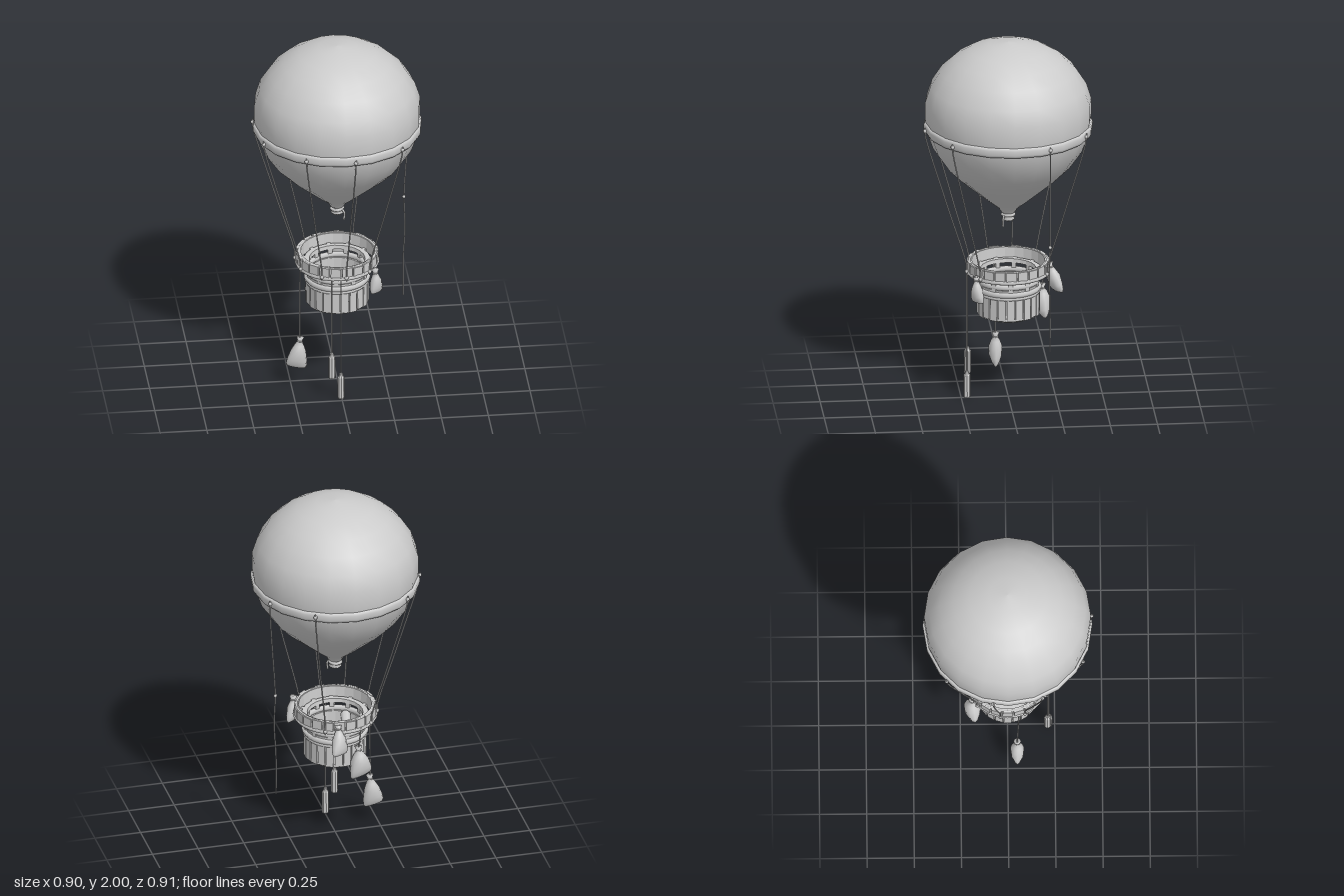
import * as THREE from 'three';
import { mergeVertices } from 'three/addons/utils/BufferGeometryUtils.js';

const mat = new THREE.MeshStandardMaterial({ color: 0xcccccc, side: THREE.DoubleSide });
const V = (x, y, z) => new THREE.Vector3(x, y, z);
const polar = (deg, r, y) => V(r * Math.cos(deg * Math.PI / 180), y, r * Math.sin(deg * Math.PI / 180));

function add(parent, name, geometry, pos = [0, 0, 0], rot = [0, 0, 0]) {
  const mesh = new THREE.Mesh(geometry, mat);
  mesh.name = name;
  mesh.position.set(...pos);
  mesh.rotation.set(...rot);
  parent.add(mesh);
  return mesh;
}

const lathe = (pts, sides) => new THREE.LatheGeometry(pts.map(p => new THREE.Vector2(...p)), sides);

// profile repeated with doubled corners so that edges stay crisp
function crispLathe(pts, sides) {
  const g = lathe(pts, sides).toNonIndexed();
  g.computeVertexNormals();
  return g;
}

function rope(parent, name, pts, r = 0.004) {
  const curve = new THREE.CatmullRomCurve3(pts);
  return add(parent, name, new THREE.TubeGeometry(curve, Math.max(2, pts.length * 3), r, 5));
}

// cloth sack hanging from its tied neck, flattened toward a wide seam at the bottom
function sack(parent, name, pos, rot, h = 0.145, w = 0.052) {
  const g0 = lathe([[0.001, 0.024], [0.02, 0.026], [0.011, 0.004], [w * 0.45, -h * 0.14], [w * 0.74, -h * 0.38],
    [w * 0.95, -h * 0.7], [w, -h * 0.9], [w * 0.92, -h], [0.001, -h * 1.03]], 12);
  g0.deleteAttribute('uv');
  g0.deleteAttribute('normal');
  const g = mergeVertices(g0), p = g.attributes.position;
  for (let i = 0; i < p.count; i++) {
    const t = THREE.MathUtils.clamp(-p.getY(i) / h, 0, 1);
    p.setZ(i, p.getZ(i) * (1 - 0.72 * t * t));
    p.setY(i, p.getY(i) - 0.1 * p.getX(i) * t);
  }
  g.computeVertexNormals();
  const group = new THREE.Group();
  group.name = name;
  group.position.set(...pos);
  group.rotation.set(...rot);
  add(group, 'sackCloth', g);
  add(group, 'sackTie', new THREE.TorusGeometry(0.012, 0.004, 5, 10), [0, 0.004, 0], [Math.PI / 2, 0, 0]);
  parent.add(group);
}

export function createModel() {
  const model = new THREE.Group();
  model.name = 'hotAirBalloon';

  // envelope
  add(model, 'envelope', lathe([[0.034, 1.04], [0.055, 1.07], [0.1, 1.105], [0.2, 1.19], [0.27, 1.25], [0.335, 1.315],
    [0.4, 1.41], [0.432, 1.5], [0.442, 1.58], [0.442, 1.67], [0.415, 1.755], [0.36, 1.84], [0.29, 1.905],
    [0.205, 1.957], [0.1, 1.99], [0, 2]], 20));

  // gathered neck with its cord and loose end
  add(model, 'neckRuffle', lathe([[0.001, 1.005], [0.025, 0.995], [0.036, 1.005], [0.024, 1.03], [0.034, 1.05]], 9));
  add(model, 'neckCord', new THREE.TorusGeometry(0.031, 0.009, 6, 12), [0, 1.028, 0], [Math.PI / 2, 0.08, 0]);
  rope(model, 'neckCordEnd', [V(0.025, 1.03, 0.025), V(0.035, 1.01, 0.03), V(0.033, 0.97, 0.03)], 0.006);

  // padded belt around the envelope
  add(model, 'belt', lathe([[0.425, -0.027], [0.443, -0.026], [0.449, -0.012], [0.45, 0.012], [0.445, 0.026],
    [0.425, 0.03]], 20), [0, 1.528, 0], [-0.012, 0, 0]);

  // suspension ropes with knots at belt and rail
  for (const a of [46, 83.5, 117.5, 156, 190, 226, 298]) {
    rope(model, 'suspensionRope', [polar(a, 0.452, 1.545), polar(a, 0.448, 1.5), polar(a, 0.33, 1.1), polar(a, 0.222, 0.74),
      polar(a, 0.224, 0.7)]);
    add(model, 'beltKnot', new THREE.SphereGeometry(0.011, 6, 5), polar(a, 0.45, 1.528).toArray());
    add(model, 'railKnot', new THREE.SphereGeometry(0.011, 6, 5), polar(a, 0.224, 0.72).toArray());
  }

  // snapped rope hanging free
  rope(model, 'looseRope', [V(0.405, 1.545, -0.19), V(0.402, 1.4, -0.19), V(0.39, 1.2, -0.19), V(0.377, 0.97, -0.19),
    V(0.382, 0.8, -0.185), V(0.373, 0.6, -0.19), V(0.373, 0.38, -0.19)]);
  add(model, 'looseRopeKnot', new THREE.SphereGeometry(0.01, 6, 5), [0.377, 0.97, -0.19]);
  add(model, 'beltKnot', new THREE.SphereGeometry(0.011, 6, 5), [0.405, 1.528, -0.19]);

  // basket
  const basket = new THREE.Group();
  basket.name = 'basket';
  model.add(basket);
  add(basket, 'basketShell', crispLathe([[0, 0.455], [0.13, 0.46], [0.158, 0.48], [0.163, 0.65], [0.145, 0.65],
    [0.142, 0.49], [0, 0.485]], 24));
  const slats = 22;
  for (let i = 0; i < slats; i++) {
    const a = i / slats * 360, turn = Math.PI / 2 - a * Math.PI / 180;
    const jitter = 0.006 * Math.sin(i * 2.7);
    add(basket, 'bodySlat', new THREE.BoxGeometry(0.04, 0.13, 0.012),
      polar(a, 0.161, 0.545 + jitter * 0.5).toArray(), [0, turn, jitter * 4]);
    add(basket, 'railSlat', new THREE.BoxGeometry(0.054, 0.052, 0.012),
      polar(a, 0.212, 0.746 + jitter * 0.4).toArray(), [0, turn, jitter * 6]);
    // posts holding the rail above the body
    if (i % 2 === 0) {
      add(basket, 'railPost', new THREE.BoxGeometry(0.024, 0.08, 0.02), polar(a, 0.157, 0.68).toArray(), [0, turn, 0]);
      add(basket, 'railBracket', new THREE.BoxGeometry(0.022, 0.018, 0.05), polar(a, 0.185, 0.709).toArray(), [0, turn, 0]);
    }
  }
  add(basket, 'railRing', crispLathe([[0.19, 0.705], [0.209, 0.7], [0.213, 0.77], [0.194, 0.772], [0.19, 0.705]], 24));
  add(basket, 'innerLip', crispLathe([[0.145, 0.7], [0.175, 0.698], [0.177, 0.72], [0.148, 0.722], [0.145, 0.7]], 24));

  // padded bands, given as radius, height and thickness
  for (const [r, y, t] of [[0.157, 0.665, 0.015], [0.162, 0.624, 0.016], [0.163, 0.603, 0.01], [0.154, 0.481, 0.01],
    [0.213, 0.712, 0.012], [0.206, 0.768, 0.007]]) {
    add(basket, 'basketBand', new THREE.TorusGeometry(r, t, 6, 28), [0, y, 0], [Math.PI / 2, 0.012, 0]);
  }

  // cargo inside the basket
  add(basket, 'crate', new THREE.BoxGeometry(0.1, 0.12, 0.08), [-0.05, 0.55, -0.06], [0, 0.5, 0]);
  add(basket, 'bundle', new THREE.CapsuleGeometry(0.028, 0.1, 4, 8), [-0.07, 0.63, 0.04], [1.2, 0.3, 0.2]);

  // ballast sacks tied to the rail
  sack(model, 'frontSack', [0.183, 0.72, 0.185], [0, 0.7, 0.08], 0.115, 0.043);
  sack(model, 'backSack', [0.04, 0.735, -0.222], [0.28, 0.5, 0], 0.135, 0.052);
  sack(model, 'lowBackSack', [-0.08, 0.575, -0.187], [0.03, 0.25, -0.1], 0.145, 0.066);
  rope(model, 'sackCord', [polar(246, 0.22, 0.72), V(-0.08, 0.58, -0.187)]);

  // sack lowered on a long line
  rope(model, 'sackLine', [V(-0.205, 0.72, 0.06), V(-0.205, 0.5, 0.055), V(-0.205, 0.28, 0.05)]);
  sack(model, 'hangingSack', [-0.205, 0.262, 0.05], [0, 0, -0.13], 0.15, 0.056);

  // wooden weights on long lines
  for (const [x, y, z] of [[-0.052, 0.12, 0.212], [-0.004, 0, 0.219]]) {
    rope(model, 'weightLine', [V(x, 0.72, z), V(x, 0.45, z), V(x, y + 0.13, z)]);
    add(model, 'weight', crispLathe([[0, 0], [0.017, 0.001], [0.019, 0.01], [0.018, 0.125], [0.011, 0.137],
      [0.009, 0.148], [0, 0.15]], 8), [x, y, z]);
  }
  return model;
}
